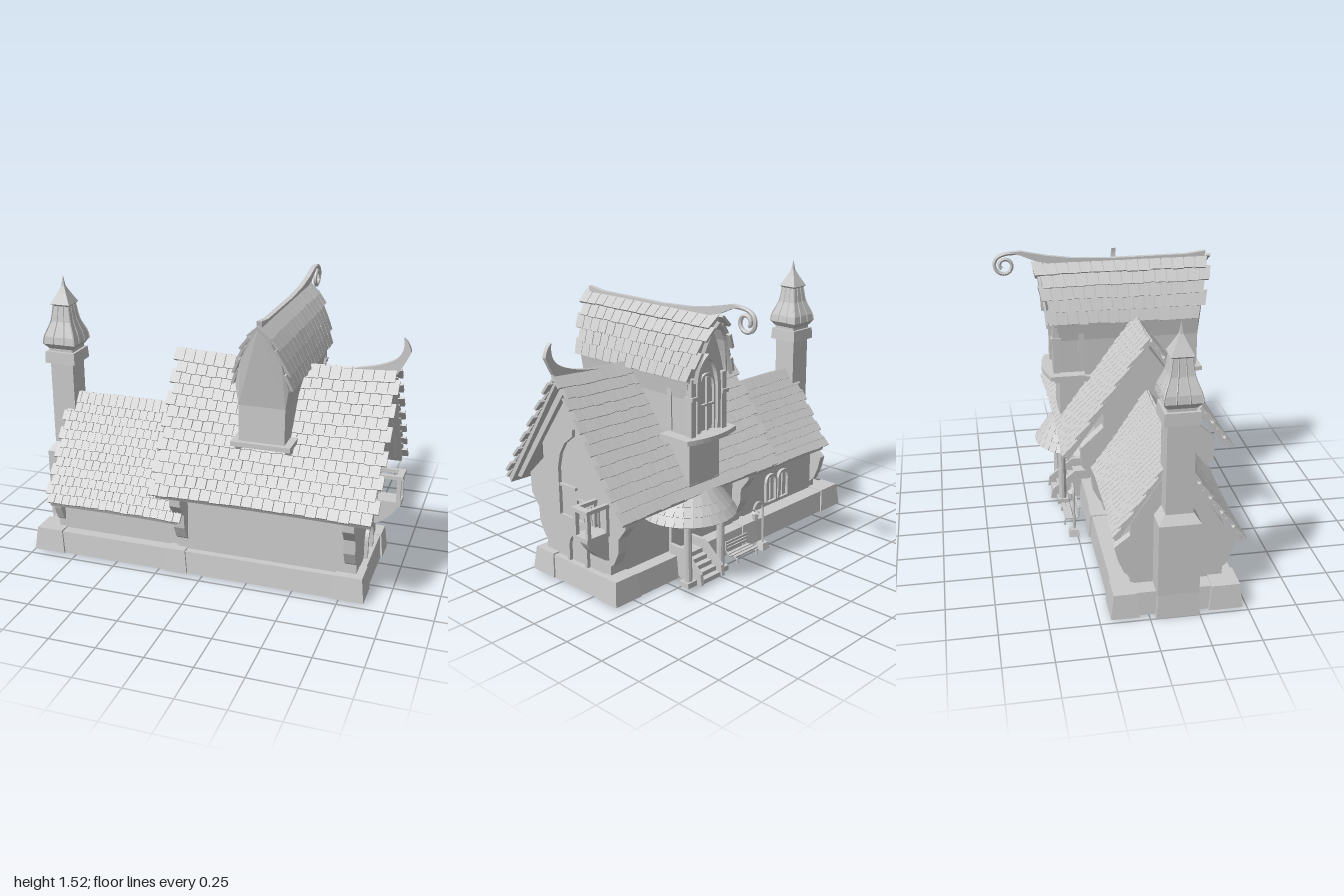
import * as THREE from 'three';
import { mergeGeometries } from 'three/addons/utils/BufferGeometryUtils.js';

const mat = new THREE.MeshStandardMaterial({ color: 0xcccccc, flatShading: true, side: THREE.DoubleSide });
const V2 = (p) => new THREE.Vector2(p[0], p[1]);
let seed = 7;
const rnd = () => (seed = (seed * 16807) % 2147483647) / 2147483647 - 0.5;

function add(parent, name, geo, x = 0, y = 0, z = 0) {
  const m = new THREE.Mesh(geo, mat);
  m.name = name;
  m.position.set(x, y, z);
  parent.add(m);
  return m;
}

function bend(geo, fn) {
  const p = geo.attributes.position, v = new THREE.Vector3();
  for (let i = 0; i < p.count; i++) {
    fn(v.fromBufferAttribute(p, i));
    p.setXYZ(i, v.x, v.y, v.z);
  }
  geo.computeVertexNormals();
  return geo;
}

// box by extents, top drawn in by taper
function block(parent, name, x0, x1, y0, y1, z0, z1, taper = 0) {
  const w = x1 - x0, d = z1 - z0;
  const g = new THREE.BoxGeometry(w, y1 - y0, d);
  if (taper) bend(g, (v) => { if (v.y > 0) { v.x *= 1 - 2 * taper / w; v.z *= 1 - 2 * taper / d; } });
  return add(parent, name, g, (x0 + x1) / 2, (y0 + y1) / 2, (z0 + z1) / 2);
}

const extrude = (shape, depth, steps = 1) =>
  new THREE.ExtrudeGeometry(shape, { depth, steps, bevelEnabled: false, curveSegments: 8 });

// outline in (z, y) extruded from x0 to x1
const extrudeX = (pts, x0, x1, steps = 1) =>
  extrude(new THREE.Shape(pts.map(V2)), x1 - x0, steps).rotateY(-Math.PI / 2).translate(x1, 0, 0);

const tube = (pts, r, n = 24, sides = 6) =>
  new THREE.TubeGeometry(new THREE.CatmullRomCurve3(pts.map((p) => new THREE.Vector3(...p))), n, r, sides);

// shingled gable roof, ridge along x; profile holds [outward, y] from ridge to eave
function roof(profile, half, rows, sw, backRows, rule) {
  const pts = new THREE.SplineCurve(profile.map(V2)).getSpacedPoints(rows);
  const parts = [];
  for (const side of [1, -1]) {
    const count = side > 0 ? rows : backRows;
    for (let r = 0; r < count; r++) {
      const a = pts[r], b = pts[r + 1], len = a.distanceTo(b);
      const ang = Math.atan2(a.y - b.y, b.x - a.x), n = Math.round(2 * half / sw), w = 2 * half / n;
      for (let i = 0; i < n; i++) {
        const x = -half + (i + 0.5 + (r % 2 ? 0.22 : -0.22)) * w;
        const l = len * (1.25 + rnd() * 0.2);
        parts.push(new THREE.BoxGeometry(w * (0.94 + rnd() * 0.06), 0.014, l).toNonIndexed()
          .rotateX(ang - 0.12 + rnd() * 0.03)
          .translate(x, (a.y + b.y) / 2 + Math.cos(ang) * 0.009, (a.x + b.x) / 2 + Math.sin(ang) * 0.009)
          .rotateY(side > 0 ? 0 : Math.PI));
      }
    }
  }
  const back = pts.slice(0, backRows + 1);
  const outline = [
    ...back.slice().reverse().map((p) => [-p.x, p.y]), ...pts.slice(1).map((p) => [p.x, p.y]),
    ...pts.slice().reverse().map((p) => [p.x * 0.97, p.y - 0.025]), ...back.slice(1).map((p) => [-p.x * 0.97, p.y - 0.025]),
  ];
  parts.push(extrudeX(outline, -half + 0.02, half - 0.02, 8));
  return bend(mergeGeometries(parts), rule);
}

// arch outline; sharp 0 is round, 1 is pointed
function arch(w, h, rise, sharp, T = THREE.Shape) {
  const s = new T(), c = h - rise * 0.5 * sharp;
  s.moveTo(-w, 0); s.lineTo(w, 0); s.lineTo(w, h - rise);
  s.quadraticCurveTo(w, c, 0, h); s.quadraticCurveTo(-w, c, -w, h - rise);
  return s;
}
function archFrame(w, h, rise, sharp, t, depth) {
  const s = arch(w, h, rise, sharp);
  s.holes.push(arch(w - t, h - t, rise - t * 0.4, sharp, THREE.Path));
  return extrude(s, depth);
}

function createModel() {
  const g = new THREE.Group();
  const RZ = 0.14;

  // plinth with corner and middle blocks
  block(g, 'plinth', -0.97, 0.875, 0.01, 0.135, -0.185, 0.46, 0.012);
  for (const [x0, x1] of [[-0.99, -0.81], [-0.21, -0.08], [0.71, 0.885]])
    for (const [z0, z1] of [[0.3, 0.472], [-0.195, -0.05]])
      block(g, 'plinthBlock', x0, x1, 0.012, 0.142, z0, z1, 0.015);

  // walls
  add(g, 'mainWalls', extrudeX([[0.41, 0.13], [0.41, 0.74], [RZ, 1.11], [-0.1, 0.78], [-0.1, 0.13]], -0.15, 0.83));
  add(g, 'wingWalls', extrudeX([[0.39, 0.13], [0.39, 0.43], [RZ, 0.82], [-0.08, 0.48], [-0.08, 0.13]], -0.87, -0.1));

  // sagging roofs
  add(g, 'mainRoof', roof([[0, 1.145], [0.225, 0.825], [0.443, 0.52]], 0.585, 13, 0.056, 13, (v) => {
    const k = (v.x / 0.58) ** 2;
    v.y += 0.022 * k * Math.max(0, (v.y - 0.5) / 0.65); v.z *= 1 + 0.03 * k; v.x *= 1 + 0.02 * (v.y - 0.8);
  }), 0.36, 0, RZ);
  add(g, 'wingRoof', roof([[0, 0.85], [0.17, 0.58], [0.345, 0.33]], 0.39, 12, 0.043, 10, (v) => {
    v.z *= 1 + 0.03 * (v.x / 0.38) ** 2;
  }), -0.497, 0, RZ);

  // stepped eave brackets
  const bracket = [[0.38, 0.17], [0.43, 0.21], [0.465, 0.28], [0.47, 0.36], [0.525, 0.43], [0.53, 0.54], [0.38, 0.68]];
  for (const x of [-0.15, 0.77]) {
    add(g, 'frontBracket', extrudeX(bracket, x, x + 0.06));
    add(g, 'backBracket', extrudeX(bracket.map(([z, y]) => [0.305 - z, y]), x, x + 0.06));
  }
  const small = [[0.37, 0.17], [0.41, 0.2], [0.44, 0.27], [0.46, 0.35], [0.37, 0.42]];
  add(g, 'wingFrontBracket', extrudeX(small, -0.87, -0.83));
  add(g, 'wingBackBracket', extrudeX(small.map(([z, y]) => [0.3 - z, y]), -0.87, -0.83));

  // horn on the main ridge
  const horn = new THREE.Shape();
  horn.moveTo(0.6, 1.13); horn.lineTo(0.93, 1.14);
  horn.quadraticCurveTo(0.97, 1.2, 1.0, 1.27); horn.quadraticCurveTo(0.99, 1.32, 0.96, 1.34);
  horn.quadraticCurveTo(0.975, 1.27, 0.93, 1.23); horn.quadraticCurveTo(0.85, 1.17, 0.6, 1.15);
  add(g, 'ridgeHorn', extrude(horn, 0.024), 0, 0, RZ - 0.012);

  // chimney with a shuttered square cap
  const CX = -0.895;
  block(g, 'chimneyFoot', -1, -0.82, 0, 0.14, 0.03, 0.25, 0.01);
  block(g, 'chimneyBase', -0.995, -0.82, 0.13, 0.52, 0.035, 0.245);
  block(g, 'chimneyShoulder', -0.995, -0.8, 0.52, 0.57, 0.035, 0.245, 0.035);
  block(g, 'chimneyShaft', -0.963, -0.83, 0.5, 1.05, RZ - 0.068, RZ + 0.068);
  block(g, 'chimneySlab', -0.985, -0.807, 1.04, 1.105, RZ - 0.09, RZ + 0.09, 0.004);
  const cap = [[0.07, 1.1], [0.07, 1.12], [0.093, 1.15], [0.088, 1.19], [0.058, 1.27], [0.045, 1.355], [0.056, 1.365],
    [0.025, 1.425], [0.009, 1.46], [0, 1.52]];
  add(g, 'chimneyCap', new THREE.LatheGeometry(cap.map(([r, y]) => new THREE.Vector2(r * Math.SQRT2, y)), 4).rotateY(Math.PI / 4), CX, 0, RZ);
  add(g, 'capBall', new THREE.SphereGeometry(0.012, 8, 6), CX, 1.455, RZ);
  for (let f = 0; f < 4; f++)
    for (const k of [-1, -0.35, 0.35, 1])
      add(g, 'capRib', tube(cap.slice(2, 6).map(([r, y]) => [k * r, y, r]), 0.004, 8, 4), CX, 0, RZ).rotation.y = f * Math.PI / 2;

  // cross-gable tower, its front leaning out with the roof
  const tower = new THREE.Group();
  tower.name = 'tower';
  tower.position.x = 0.34;
  g.add(tower);
  const half = [[0.118, 0.82], [0.12, 1.03], [0.135, 1.13], [0.105, 1.26], [0.06, 1.37]];
  const face = [...half, [0, 1.455], ...half.slice().reverse().map(([x, y]) => [-x, y])];
  const towerBody = bend(extrude(new THREE.Shape(face.map(V2)), 0.8), (v) => {
    if (v.z > 0.4) v.z += Math.max(0, v.y - 1.13) * 0.22;
  });
  add(tower, 'towerWalls', towerBody, 0, 0, -0.3);
  block(tower, 'towerFoot', -0.11, 0.11, 0.5, 0.83, -0.29, 0.36);
  block(tower, 'frontLedge', -0.155, 0.155, 0.815, 0.84, 0.33, 0.525);
  for (const x of [-0.14, 0.12])
    add(tower, 'ledgeBracket', extrudeX([[0.5, 0.82], [0.48, 0.785], [0.37, 0.76], [0.34, 0.82]], x, x + 0.022));
  const ledge = new THREE.Shape();
  ledge.moveTo(-0.18, 0.15); ledge.lineTo(-0.18, 0.345); ledge.quadraticCurveTo(0, 0.415, 0.18, 0.345); ledge.lineTo(0.18, 0.15);
  add(tower, 'backBalcony', extrude(ledge, 0.025).rotateX(-Math.PI / 2), 0, 0.815, 0);
  block(tower, 'balconyStep', -0.14, 0.14, 0.785, 0.815, -0.32, -0.1);
  const towerRoof = roof([[0, 1.445], [0.065, 1.365], [0.11, 1.25], [0.14, 1.14]], 0.42, 5, 0.055, 5, (v) => {
    v.x *= 1 + Math.max(0, v.y - 1.13) / 0.33 * 0.18;
  });
  add(tower, 'towerRoof', towerRoof.rotateY(Math.PI / 2), 0, 0, 0.085);
  add(tower, 'towerWindowFrame', archFrame(0.085, 0.4, 0.16, 0.6, 0.022, 0.03), 0, 0.85, -0.325);
  add(tower, 'towerWindowInner', archFrame(0.055, 0.3, 0.08, 0, 0.01, 0.02), 0, 0.85, -0.315);
  block(tower, 'windowMullion', -0.006, 0.006, 0.85, 1.13, -0.315, -0.3);
  block(tower, 'windowTransom', -0.05, 0.05, 0.98, 0.992, -0.315, -0.3);
  for (const s of [-1, 1]) {
    block(tower, 'cornerPost', s * 0.112 - 0.016, s * 0.112 + 0.016, 0.84, 1.14, -0.325, -0.29);
    block(tower, 'postCapital', s * 0.112 - 0.022, s * 0.112 + 0.022, 1.03, 1.05, -0.336, -0.28);
    add(tower, 'gableBrace', tube([[s * 0.13, 1.13, -0.35], [s * 0.095, 1.25, -0.36], [s * 0.05, 1.36, -0.375], [0, 1.42, -0.385]], 0.012, 10, 4));
    block(tower, 'sideSlot', s * 0.12 - 0.006, s * 0.12 + 0.006, 0.85, 1.1, -0.18, -0.15);
  }

  // tower ridge board and curled scroll
  add(tower, 'ridgeBoard', extrudeX([[0.56, 1.48], [0.45, 1.465], [0, 1.462], [-0.2, 1.472], [-0.34, 1.492], [-0.48, 1.522],
    [-0.54, 1.518], [-0.48, 1.5], [-0.4, 1.465], [-0.3, 1.44], [0.55, 1.44]], -0.013, 0.013));
  const curl = [[0, 1.512, -0.49], [0, 1.508, -0.56]];
  for (let i = 0; i <= 16; i++) {
    const t = 0.9 - i * 0.5, r = 0.058 - i * 0.0022;
    curl.push([0, 1.445 + r * Math.sin(t), -0.567 - r * Math.cos(t)]);
  }
  add(tower, 'ridgeScroll', tube(curl, 0.011, 60));

  // right gable: half-arch timber, small windows, cellar door, barge boards
  const rib = [[0.3, 0.38], [0.3, 0.64], [0.275, 0.73], [0.22, 0.81], [RZ, 0.87],
    [RZ, 0.835], [0.205, 0.785], [0.245, 0.72], [0.265, 0.64], [0.265, 0.38]];
  add(g, 'gableArch', extrudeX(rib, 0.825, 0.85));
  block(g, 'gableArchSill', 0.825, 0.845, 0.54, 0.555, RZ, 0.27);
  block(g, 'gableSill', 0.825, 0.845, 0.37, 0.382, -0.02, 0.3);
  for (const z of [0.11, 0]) {
    const frame = archFrame(0.03, 0.12, 0.01, 0, 0.007, 0.015);
    add(g, 'gableWindow', frame, 0.826, 0.38, z).rotation.y = Math.PI / 2;
  }
  add(g, 'cellarDoorFrame', archFrame(0.08, 0.175, 0.09, 0, 0.02, 0.025), 0.825, 0.135, RZ).rotation.y = Math.PI / 2;
  for (const s of [-1, 1])
    add(g, 'bargeBoard', extrudeX([[RZ, 1.125], [RZ + s * 0.42, 0.53], [RZ + s * 0.385, 0.53], [RZ, 1.07]], 0.875, 0.895));

  // small side balcony on a curved bracket
  block(g, 'balconyFloor', 0.82, 0.975, 0.36, 0.385, -0.1, 0.01);
  for (const z of [-0.1, -0.01]) {
    block(g, 'balconyPost', 0.95, 0.972, 0.38, 0.52, z, z + 0.018);
    block(g, 'balconyWallPost', 0.83, 0.85, 0.38, 0.52, z, z + 0.018);
    block(g, 'balconySideRail', 0.83, 0.975, 0.515, 0.535, z - 0.003, z + 0.02);
  }
  block(g, 'balconyRail', 0.945, 0.98, 0.515, 0.535, -0.105, 0.01);
  const brace = new THREE.Shape();
  brace.moveTo(0.82, 0.22); brace.lineTo(0.85, 0.23); brace.quadraticCurveTo(0.92, 0.27, 0.97, 0.36); brace.lineTo(0.82, 0.36);
  add(g, 'balconyBracket', extrude(brace, 0.06), 0, 0, -0.09);

  // back porch: round canopy with shingle rows, columns, door and steps
  const porch = new THREE.Group();
  porch.name = 'porch';
  porch.position.set(0.34, 0, -0.17);
  g.add(porch);
  const dome = [[0, 0.535], [0.15, 0.525], [0.19, 0.465], [0.222, 0.42], [0.25, 0.375], [0.225, 0.365], [0, 0.4]];
  add(porch, 'canopy', new THREE.LatheGeometry(dome.map(V2), 24));
  const tiles = [];
  for (let r = 0; r < 3; r++) {
    const [r0, y0] = dome[r + 1], [r1, y1] = dome[r + 2], n = 24 + r * 4, l = Math.hypot(r1 - r0, y1 - y0);
    for (let i = 0; i < n; i++)
      tiles.push(new THREE.BoxGeometry(r1 * 2 * Math.PI / n * 0.95, 0.01, l * 1.1).rotateX(Math.atan2(y0 - y1, r1 - r0) - 0.08)
        .translate(0, (y0 + y1) / 2 + 0.003, (r0 + r1) / 2 + 0.003).rotateY((i + r / 2) / n * 2 * Math.PI));
  }
  add(porch, 'canopyTiles', mergeGeometries(tiles));
  for (const s of [-1, 1]) {
    add(porch, 'column', new THREE.CylinderGeometry(0.02, 0.023, 0.35, 10), s * 0.125, 0.2, -0.12);
    block(porch, 'columnBase', s * 0.125 - 0.032, s * 0.125 + 0.032, 0.015, 0.045, -0.152, -0.088);
    block(porch, 'columnTop', s * 0.125 - 0.028, s * 0.125 + 0.028, 0.355, 0.38, -0.148, -0.092);
    add(porch, 'stairCheek', extrudeX([[0.05, 0.19], [-0.04, 0.19], [-0.175, 0.08], [-0.185, 0.02], [0.05, 0.02]], s * 0.08 - 0.01, s * 0.08 + 0.01));
  }
  for (let i = 0; i < 5; i++) block(porch, 'step', -0.075, 0.075, 0.015, 0.04 + i * 0.025, -0.17 + i * 0.033, 0.06);
  add(porch, 'doorFrame', archFrame(0.075, 0.24, 0.06, 0, 0.015, 0.025), 0, 0.135, 0.05);
  block(porch, 'door', -0.06, 0.06, 0.14, 0.34, 0.06, 0.075);

  // paired windows on the back of the wing
  for (const x of [-0.555, -0.445]) {
    add(g, 'wingWindowFrame', archFrame(0.05, 0.17, 0.06, 0, 0.012, 0.02), x, 0.165, -0.098);
    block(g, 'wingWindowBar', x - 0.004, x + 0.004, 0.17, 0.325, -0.09, -0.078);
  }

  // bench
  for (let i = 0; i < 3; i++) {
    block(g, 'benchSeatSlat', -0.07, 0.11, 0.055, 0.063, -0.31 + i * 0.026, -0.29 + i * 0.026);
    block(g, 'benchBackSlat', -0.07, 0.11, 0.073 + i * 0.019, 0.086 + i * 0.019, -0.235, -0.227);
  }
  for (const x of [-0.06, 0.1])
    add(g, 'benchFrame', tube([[x, 0.015, -0.31], [x, 0.053, -0.305], [x, 0.053, -0.24], [x, 0.125, -0.225]], 0.006, 12, 5));

  // lamp post with hooked arm
  block(g, 'lampBase', -0.19, -0.13, 0.01, 0.05, -0.3, -0.24, 0.008);
  add(g, 'lampPost', tube([[-0.16, 0.04, -0.27], [-0.16, 0.2, -0.27], [-0.15, 0.285, -0.27], [-0.11, 0.305, -0.27],
    [-0.08, 0.27, -0.27], [-0.1, 0.25, -0.27]], 0.007));
  add(g, 'lampLantern', new THREE.CylinderGeometry(0.022, 0.014, 0.045, 6), -0.095, 0.225, -0.27);
  add(g, 'lampHood', new THREE.ConeGeometry(0.028, 0.02, 6), -0.095, 0.257, -0.27);
  return g;
}

export { createModel };
